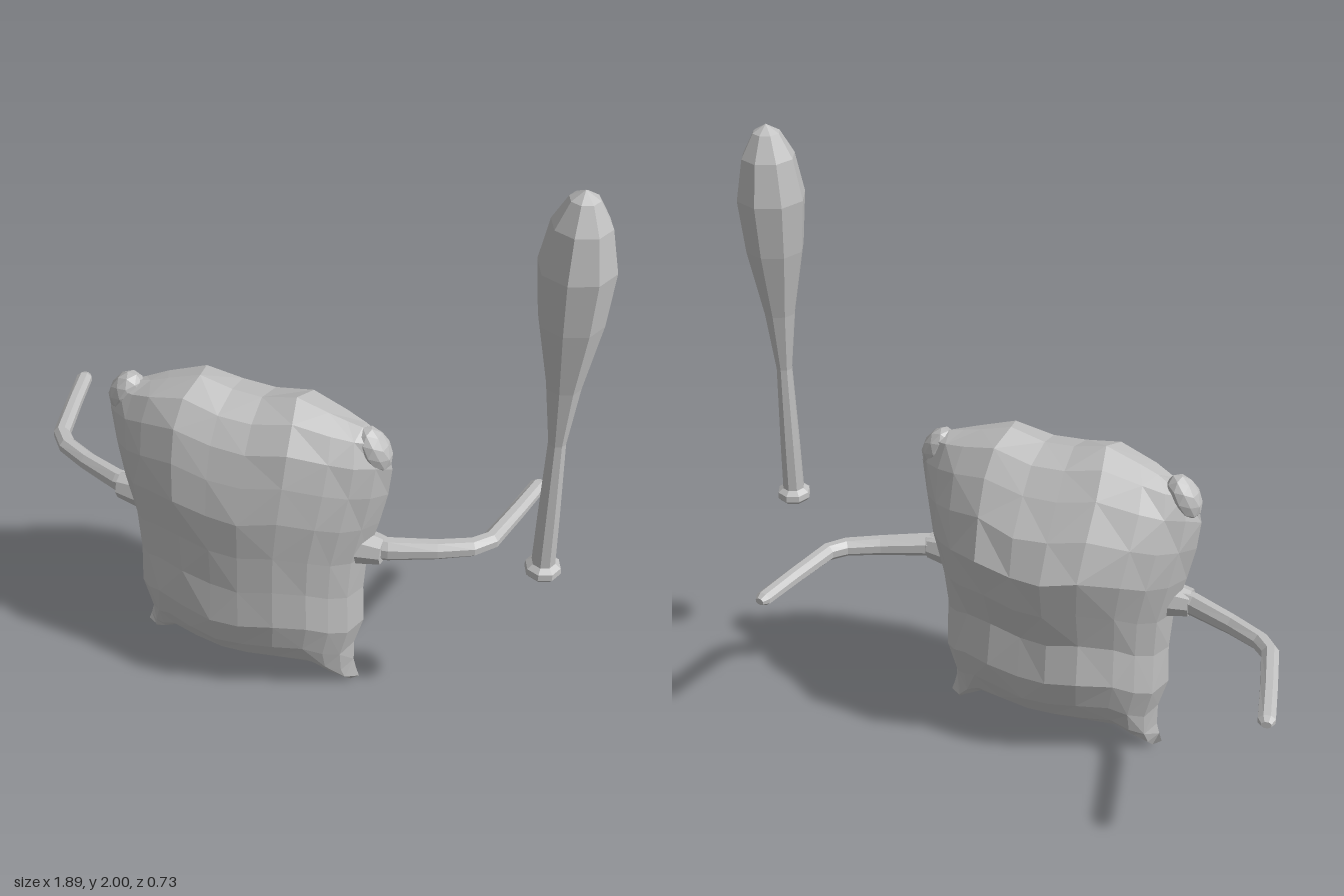
import * as THREE from 'three';

const CX = -0.11, CZ = 0.13; // middle of the sack and plane of its side seam

const grey = new THREE.MeshStandardMaterial({ color: 0xbfbfbf, flatShading: true });
grey.name = 'plain grey';

function add(parent, name, geometry) {
  const mesh = new THREE.Mesh(geometry, grey);
  mesh.name = name;
  parent.add(mesh);
  return mesh;
}

function seeded(seed) {
  return () => (seed = (seed * 16807) % 2147483647) / 2147483647;
}

// Pillow-shaped sack: a front and a back sheet meeting along a seam
function sackGeometry() {
  // columns: u across, bottom edge, top edge
  const columns = [
    [-1, 0.03, 1.02], [-0.92, 0.005, 1.05], [-0.8, 0.04, 1.06], [-0.65, 0.085, 1.085],
    [-0.38, 0.09, 1.125], [-0.12, 0.085, 1.1], [0.12, 0.085, 1.095], [0.4, 0.09, 1.125],
    [0.65, 0.085, 1.095], [0.8, 0.04, 1.08], [0.92, 0.005, 1.07], [1, 0.03, 1.04],
  ];
  // rows: v up, half width, front depth, back depth
  const rows = [
    [0, 0.38, 0, 0], [0.03, 0.37, 0.1, 0.1], [0.07, 0.36, 0.15, 0.15],
    [0.15, 0.36, 0.2, 0.2], [0.26, 0.39, 0.23, 0.24], [0.4, 0.385, 0.22, 0.22],
    [0.54, 0.395, 0.225, 0.27], [0.68, 0.43, 0.23, 0.3], [0.8, 0.455, 0.205, 0.25],
    [0.9, 0.465, 0.165, 0.17], [0.97, 0.45, 0.1, 0.1], [1, 0.4, 0, 0],
  ];
  const random = seeded(7);
  const positions = [], index = [];
  const n = columns.length;
  [1, -1].forEach((side, s) => {
    const base = positions.length / 3;
    rows.forEach(([v, width, front, back], j) => columns.forEach(([u, low, high], i) => {
      const bulge = Math.pow(1 - Math.pow(Math.abs(u), 2.3), 0.7);
      const lump = 1 + 0.06 * (random() - 0.6);
      positions.push(CX + u * width, low + (high - low) * v,
        CZ + side * (s ? back : front) * bulge * lump);
      if (i === n - 1 || j === rows.length - 1) return;
      const a = base + j * n + i, b = a + 1, c = b + n, d = a + n;
      // alternate diagonals for a crumpled look
      const quad = (i + j) % 2 ? [a, b, c, a, c, d] : [a, b, d, b, c, d];
      index.push(...(s ? quad.reverse() : quad));
    }));
  });
  const geometry = new THREE.BufferGeometry();
  geometry.setAttribute('position', new THREE.Float32BufferAttribute(positions, 3));
  geometry.setIndex(index);
  geometry.computeVertexNormals();
  return geometry;
}

// Tapered limb lofted through level stations [x, y, z, half height, half width]
function limbGeometry(stations, sides = 8) {
  const positions = [], index = [];
  stations.forEach(([x, y, z, h, w], k) => {
    const p = stations[Math.max(k - 1, 0)], q = stations[Math.min(k + 1, stations.length - 1)];
    const length = Math.hypot(q[0] - p[0], q[2] - p[2]);
    const sx = -(q[2] - p[2]) / length, sz = (q[0] - p[0]) / length;
    for (let i = 0; i < sides; i++) {
      const t = (i + 0.5) / sides * Math.PI * 2;
      const across = Math.cos(t) * w;
      positions.push(x + sx * across, y + Math.sin(t) * h, z + sz * across);
      if (k === stations.length - 1) continue;
      const a = k * sides + i, b = k * sides + (i + 1) % sides;
      index.push(a, a + sides, b, b, a + sides, b + sides);
    }
  });
  // end caps
  const last = (stations.length - 1) * sides;
  for (let i = 1; i < sides - 1; i++) {
    index.push(0, i, i + 1, last, last + i + 1, last + i);
  }
  const geometry = new THREE.BufferGeometry();
  geometry.setAttribute('position', new THREE.Float32BufferAttribute(positions, 3));
  geometry.setIndex(index);
  geometry.computeVertexNormals();
  return geometry;
}

export function createModel() {
  const model = new THREE.Group();
  model.name = 'sackCreature';

  add(model, 'sackBody', sackGeometry());

  // Mirrored arms, collars and tied top corners, measured from the sack middle
  const armShape = limbGeometry([
    [0.38, 0.615, 0.135, 0.045, 0.035], [0.46, 0.615, 0.125, 0.04, 0.033],
    [0.6, 0.612, 0.07, 0.034, 0.03], [0.7, 0.612, 0.02, 0.031, 0.03],
    [0.745, 0.612, -0.03, 0.03, 0.029], [0.785, 0.612, -0.2, 0.026, 0.028],
    [0.815, 0.612, -0.34, 0.022, 0.028], [0.819, 0.612, -0.36, 0.012, 0.016],
  ]);
  for (const [side, name] of [[1, 'left'], [-1, 'right']]) {
    const half = new THREE.Group();
    half.name = name + 'Side';
    half.position.x = CX;
    half.scale.x = side;
    model.add(half);
    add(half, name + 'Arm', armShape);

    const collar = add(half, name + 'ArmCollar', new THREE.CylinderGeometry(0.045, 0.06, 0.075, 8));
    collar.rotation.z = -Math.PI / 2;
    collar.position.set(0.41, 0.612, 0.135);

    const corner = add(half, name + 'TopCorner', new THREE.IcosahedronGeometry(0.06, 1));
    corner.scale.set(0.85, 1.3, 0.9);
    corner.rotation.z = 0.5;
    corner.position.set(0.405, 1.0, CZ);
  }

  // Eight-sided club standing beside the sack
  const profile = [
    [0, 0.68], [0.045, 0.682], [0.056, 0.695], [0.054, 0.715], [0.036, 0.728],
    [0.033, 0.9], [0.026, 1.18], [0.05, 1.38], [0.092, 1.6], [0.108, 1.77],
    [0.083, 1.9], [0.042, 1.975], [0, 2],
  ].map(([r, y]) => new THREE.Vector2(r, y));
  add(model, 'club', new THREE.LatheGeometry(profile, 8)).position.set(0.835, 0, CZ);

  return model;
}
